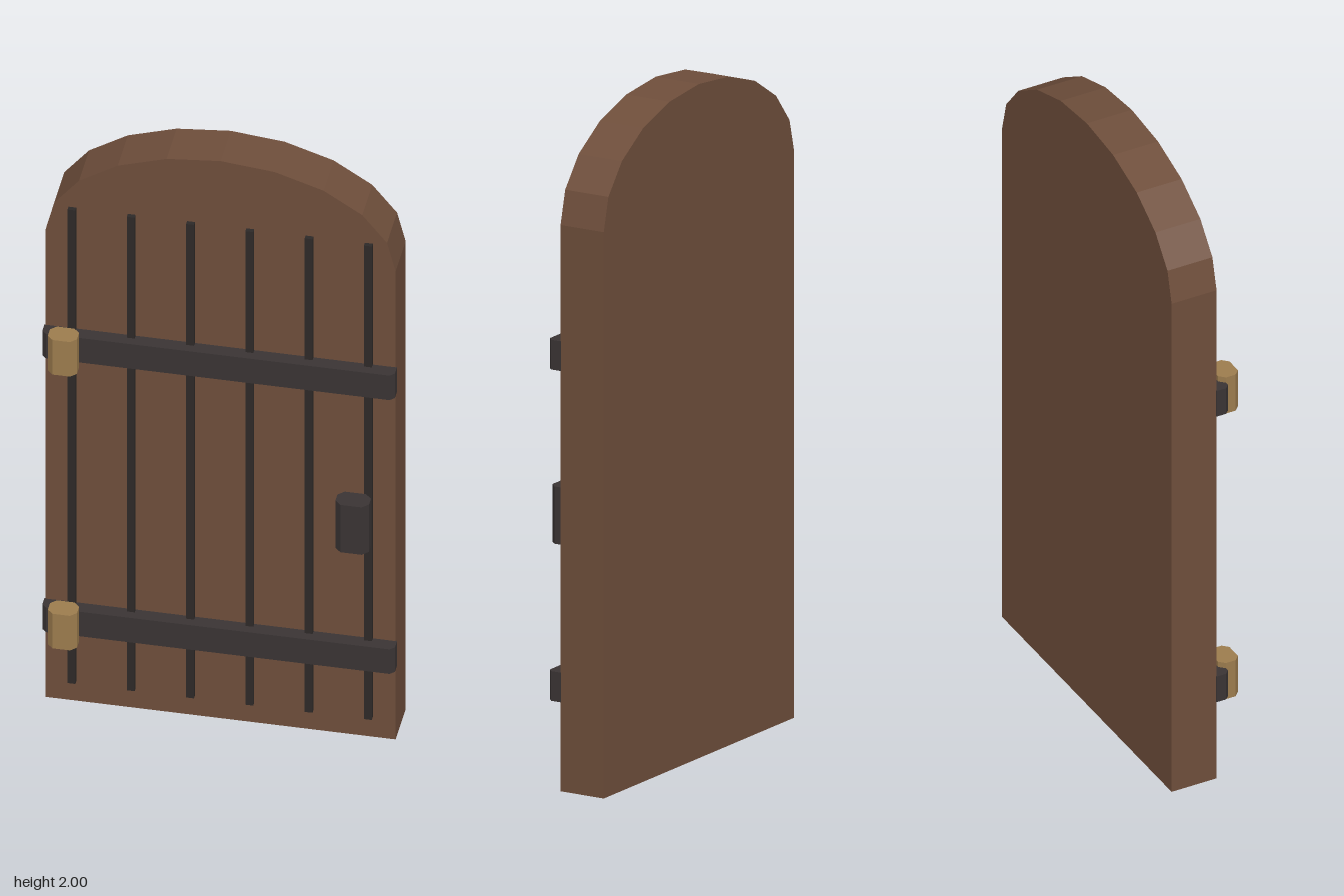
import * as THREE from 'three';

const mat = (name, color) => new THREE.MeshStandardMaterial({ name, color, flatShading: true });

// Upright block whose plan (x, z) has cut corners; c = front cut, b = back cut
function chamferedBlock(x0, x1, z0, z1, y0, y1, c, b) {
  const plan = [[x0, z1 - c], [x0 + c, z1], [x1 - c, z1], [x1, z1 - c]];
  if (b > 0) plan.push([x1, z0 + b], [x1 - b, z0], [x0 + b, z0], [x0, z0 + b]);
  else plan.push([x1, z0], [x0, z0]);
  const shape = new THREE.Shape(plan.map(([x, z]) => new THREE.Vector2(x, -z)));
  const geo = new THREE.ExtrudeGeometry(shape, { depth: y1 - y0, bevelEnabled: false });
  return geo.rotateX(-Math.PI / 2).translate(0, y0, 0);
}

export function createModel() {
  const group = new THREE.Group();
  group.name = 'archedDoor';
  const wood = mat('brown wood', 0x6e4e3b);
  const iron = mat('dark iron', 0x3a3434);
  const groove = mat('dark groove', 0x2d2928);
  const brass = mat('aged brass', 0x9c7c4e);
  const add = (name, geo, material) => {
    const mesh = new THREE.Mesh(geo, material);
    mesh.name = name;
    group.add(mesh);
  };

  // Door slab with a ten-sided elliptical arch
  const outline = [new THREE.Vector2(-0.51, 0), new THREE.Vector2(0.51, 0)];
  for (let i = 0; i <= 10; i++) {
    const a = (i / 10) * Math.PI;
    outline.push(new THREE.Vector2(0.51 * Math.cos(a), 1.68 + 0.32 * Math.sin(a)));
  }
  const slab = new THREE.ExtrudeGeometry(new THREE.Shape(outline), { depth: 0.146, bevelEnabled: false });
  add('doorSlab', slab.translate(0, 0, -0.118), wood);

  // Upright strips between the planks
  for (let i = 0; i < 6; i++) {
    const strip = new THREE.BoxGeometry(0.023, 1.7, 0.024);
    add('plankStrip', strip.translate(-0.432 + i * 0.1728, 0.92, 0.03), groove);
  }

  // Iron straps, each with a brass hinge
  for (const y of [0.309, 1.292]) {
    add('strap', chamferedBlock(-0.514, 0.514, 0.026, 0.07, y - 0.044, y + 0.044, 0.013, 0), iron);
    add('hinge', chamferedBlock(-0.489, -0.404, 0.053, 0.118, y - 0.062, y + 0.062, 0.017, 0.017), brass);
  }

  // Latch plate
  add('latch', chamferedBlock(0.347, 0.445, 0.044, 0.108, 0.71, 0.88, 0.018, 0.018), iron);
  return group;
}
